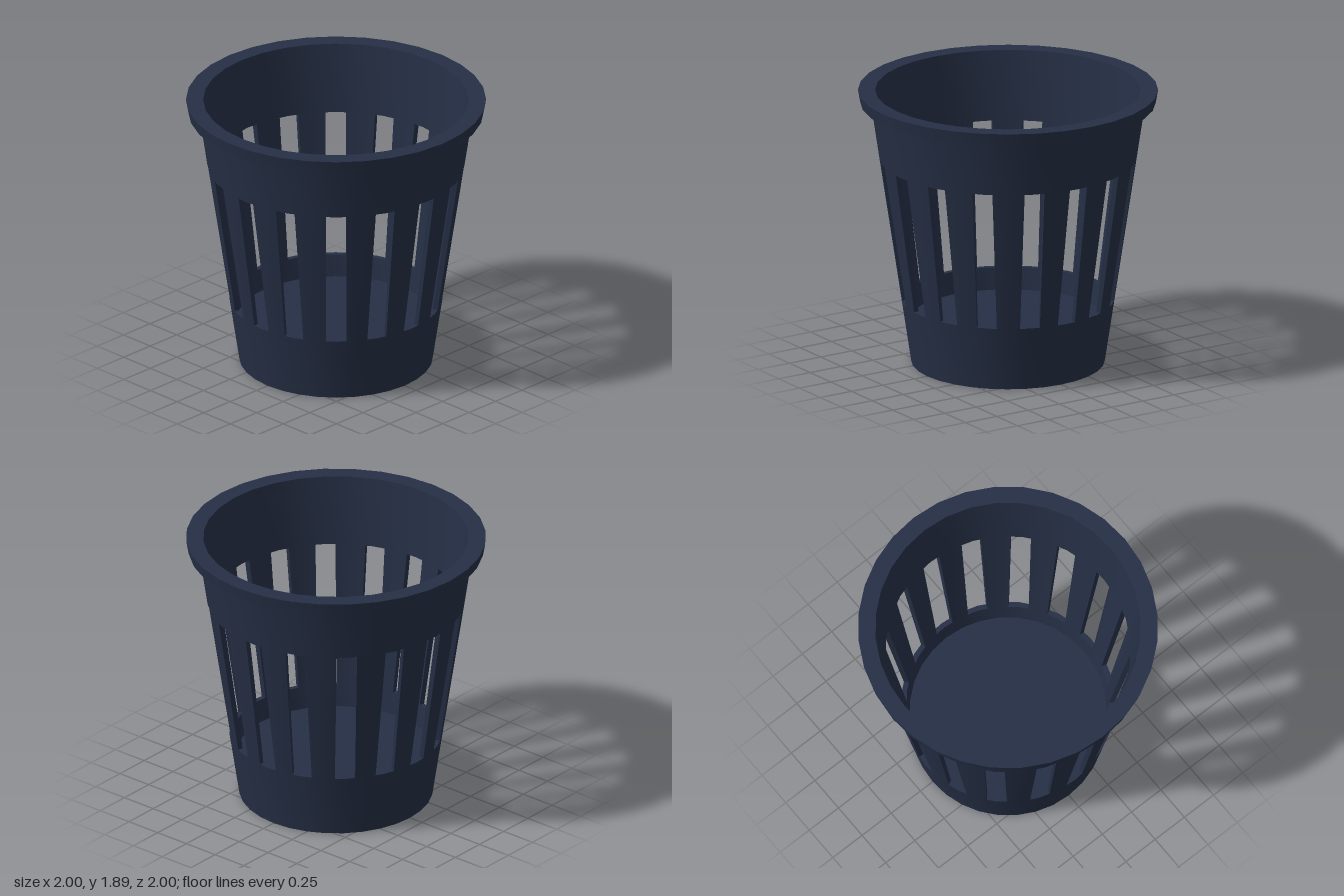
import * as THREE from 'three';
import { mergeGeometries, toCreasedNormals } from 'three/addons/utils/BufferGeometryUtils.js';

const SIDES = 32, SLOTS = 16, HALF_SLOT = 0.068;
const STEP = (2 * Math.PI) / SIDES;
// slot ends: height, outer and inner wall radius
const LOW = { y: 0.44, outer: 0.711, inner: 0.677 };
const HIGH = { y: 1.42, outer: 0.858, inner: 0.818 };

// Point on the faceted wall at a given angle
function wallPoint(radius, angle, y) {
  const local = angle - (Math.floor(angle / STEP) + 0.5) * STEP;
  const r = (radius * Math.cos(STEP / 2)) / Math.cos(local);
  return [r * Math.sin(angle), y, r * Math.cos(angle)];
}

// Angle of a slot; those beside the z axis sit slightly closer to it
function slotAngle(k) {
  const nudge = { 1: -0.018, 7: 0.018, 9: -0.018, 15: 0.018 }[k % SLOTS] || 0;
  return k * 2 * STEP + nudge;
}

const slotEdge = (k, side, radius) => slotAngle(k) + side * Math.asin(HALF_SLOT / radius);

// Quads between two rows of points
function strip(a, b, closed = false) {
  const pos = [];
  const n = a.length;
  for (let i = 0; i < (closed ? n : n - 1); i++) {
    const j = (i + 1) % n;
    pos.push(...a[i], ...a[j], ...b[j], ...a[i], ...b[j], ...b[i]);
  }
  const g = new THREE.BufferGeometry();
  g.setAttribute('position', new THREE.Float32BufferAttribute(pos, 3));
  return g;
}

function lathe(profile) {
  const g = new THREE.LatheGeometry(profile.map(([x, y]) => new THREE.Vector2(x, y)), SIDES).toNonIndexed();
  g.deleteAttribute('uv');
  g.deleteAttribute('normal');
  return g;
}

// Cross-section of the bar between slot k and slot k + 1
function barSection(k, { y, outer, inner }) {
  const middle = (2 * k + 1) * STEP;
  const row = (r) => [slotEdge(k, 1, r), middle, slotEdge(k + 1, -1, r)].map((a) => wallPoint(r, a, y));
  return [...row(outer), ...row(inner).reverse()];
}

// Wall row across slot k
function slotRow(k, radius, y) {
  return [slotEdge(k, -1, radius), k * 2 * STEP, slotEdge(k, 1, radius)].map((a) => wallPoint(radius, a, y));
}

export function createModel() {
  const group = new THREE.Group();
  const material = new THREE.MeshStandardMaterial({ color: 0x252f45 });
  const add = (name, geometries) => {
    const mesh = new THREE.Mesh(toCreasedNormals(mergeGeometries(geometries), Math.PI / 6), material);
    mesh.name = name;
    group.add(mesh);
  };

  // Solid base with a raised floor inside
  add('base', [
    lathe([[0, 0], [0.645, 0], [LOW.outer, LOW.y]]),
    lathe([[LOW.inner, LOW.y], [0.655, 0.29], [0, 0.29]]),
  ]);

  // Upper wall and overhanging rim
  add('upperWallAndRim', [
    lathe([[HIGH.outer, HIGH.y], [0.915, 1.805], [0.985, 1.805], [1, 1.89], [0.885, 1.89], [HIGH.inner, HIGH.y]]),
  ]);

  // Upright bars and the slot ends between them
  const bars = [], ends = [];
  for (let k = 0; k < SLOTS; k++) {
    bars.push(strip(barSection(k, LOW), barSection(k, HIGH), true));
    ends.push(strip(slotRow(k, LOW.outer, LOW.y), slotRow(k, LOW.inner, LOW.y)));
    ends.push(strip(slotRow(k, HIGH.inner, HIGH.y), slotRow(k, HIGH.outer, HIGH.y)));
  }
  add('wallBars', bars);
  add('slotEnds', ends);

  return group;
}
